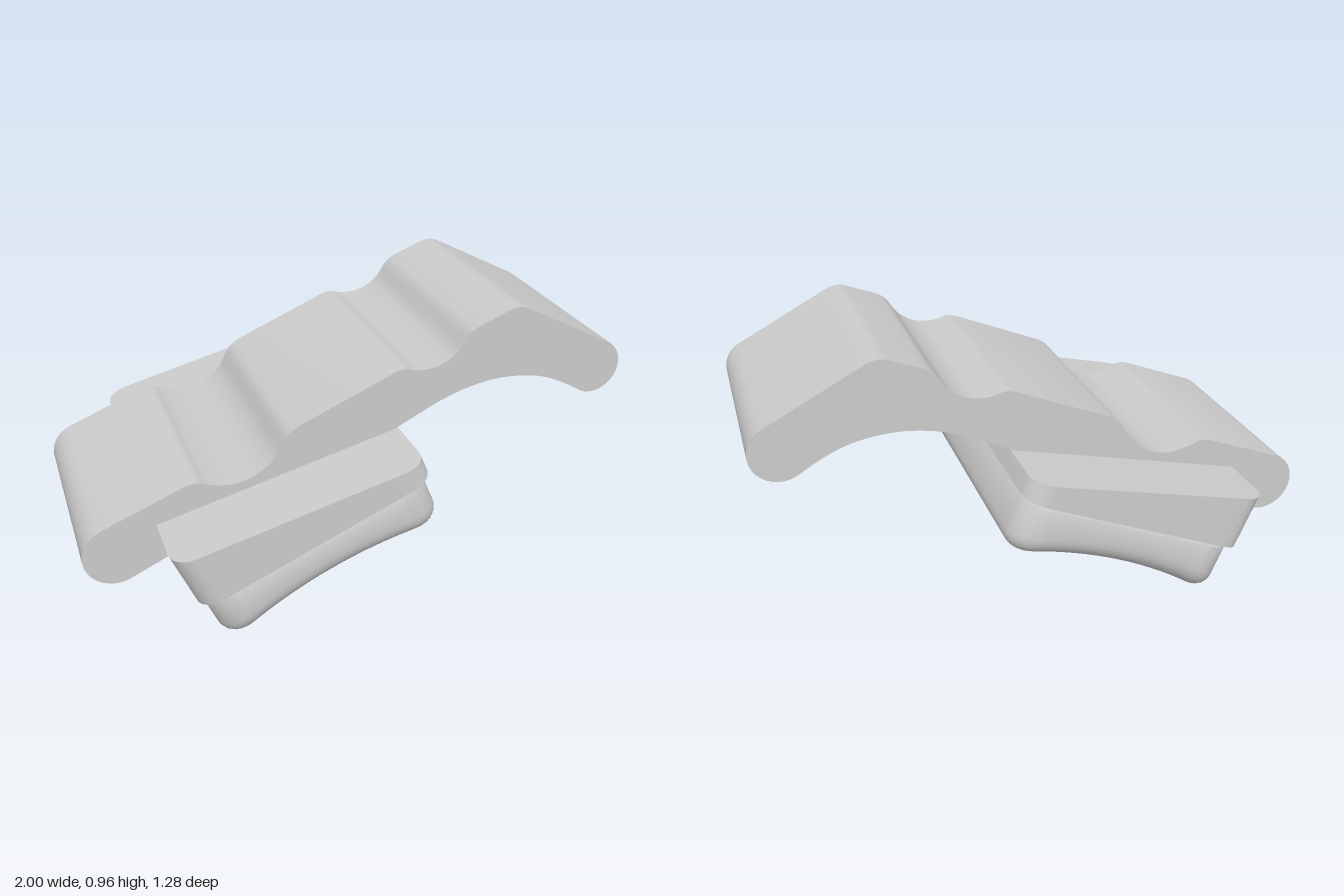
import * as THREE from 'three';
import { toCreasedNormals } from 'three/addons/utils/BufferGeometryUtils.js';

const material = new THREE.MeshStandardMaterial({ color: 0xcccccc, side: THREE.DoubleSide });
const V = (x, y) => new THREE.Vector2(x, y);
const DEG = Math.PI / 180;

function part(name, geometry, crease = 0.6) {
  const mesh = new THREE.Mesh(toCreasedNormals(geometry, crease), material);
  mesh.name = name;
  return mesh;
}

// Rounded rectangle outline from x0 to x1 and -hz to hz, with the long edges subdivided
function roundedLoop(x0, x1, hz, r, edgeSteps = 16, arcSteps = 6) {
  const points = [];
  const corners = [[x1 - r, hz - r], [x0 + r, hz - r], [x0 + r, r - hz], [x1 - r, r - hz]];
  corners.forEach(([cx, cz], k) => {
    for (let i = 0; i <= arcSteps; i++) {
      const a = (k + i / arcSteps) * Math.PI / 2;
      points.push(V(cx + r * Math.cos(a), cz + r * Math.sin(a)));
    }
    if (k % 2 === 0) { // long edges run along x
      const from = points[points.length - 1];
      const to = V(corners[k + 1][0], from.y);
      for (let i = 1; i < edgeSteps; i++) points.push(from.clone().lerp(to, i / edgeSteps));
    }
  });
  return points;
}

// Wavy arm: one side profile extruded across the width
function armGeometry() {
  const s = new THREE.Shape();
  s.absarc(-0.885, 0.255, 0.113, -60 * DEG, 113 * DEG, true);
  s.lineTo(-0.635, 0.474);
  s.splineThru([V(-0.595, 0.478), V(-0.55, 0.461), V(-0.47, 0.449), V(-0.39, 0.47),
    V(-0.325, 0.52), V(-0.28, 0.595), V(-0.24, 0.627)]);
  s.lineTo(0.11, 0.772);
  s.splineThru([V(0.145, 0.778), V(0.2, 0.765), V(0.27, 0.771), V(0.335, 0.808),
    V(0.385, 0.875), V(0.42, 0.898)]);
  s.lineTo(0.53, 0.94);
  s.quadraticCurveTo(0.565, 0.956, 0.61, 0.934);
  s.absarc(0.898, 0.668, 0.102, 62 * DEG, -118 * DEG, true);
  s.splineThru([V(0.76, 0.63), V(0.66, 0.669), V(0.53, 0.685), V(0.41, 0.673),
    V(0.3, 0.64), V(0.2, 0.595), V(0.1, 0.545)]);
  s.lineTo(-0.6, 0.26);
  s.lineTo(-0.71, 0.21);
  s.closePath();
  const g = new THREE.ExtrudeGeometry(s, { depth: 0.76, bevelEnabled: false, curveSegments: 8 });
  return g.translate(0, 0, -0.38);
}

// Backing plate: rounded slab whose top slopes into a wedge
function plateGeometry() {
  const shape = new THREE.Shape(roundedLoop(0, 0.882, 0.64, 0.08));
  const g = new THREE.ExtrudeGeometry(shape, { depth: 1, bevelEnabled: false });
  g.rotateX(-Math.PI / 2);
  const p = g.attributes.position;
  for (let i = 0; i < p.count; i++) {
    if (p.getY(i) > 0.5) p.setY(i, 0.211 - 0.142 * p.getX(i) / 0.882);
  }
  return g;
}

// Pad: stacked rounded loops with a soft lower edge and a hollowed underside
function padGeometry() {
  const R = 0.08;
  const depth = (x) => 0.165 + 0.04 * ((x - 0.44) / 0.35) ** 2;
  const rings = [];
  const addRing = (inset, height, zScale = 1) => rings.push(
    roundedLoop(0.015 + inset, 0.865 - inset, 0.628 - inset, 0.105 - inset)
      .map((q) => [q.x, height(q.x), q.y * zScale]));
  addRing(0.02, () => 0.002);
  addRing(0.02, () => -0.008);
  addRing(0.004, () => -0.01);
  addRing(0, () => -0.016);
  for (let i = 0; i <= 7; i++) {
    const a = i / 7 * Math.PI / 2;
    addRing(R * (1 - Math.cos(a)), (x) => -depth(x) + R * (1 - Math.sin(a)));
  }
  addRing(R, (x) => -depth(x), 0); // closes the underside along its centre line
  const n = rings[0].length;
  const index = [];
  for (let r = 0; r < rings.length - 1; r++) {
    for (let i = 0; i < n; i++) {
      const a = r * n + i, b = r * n + (i + 1) % n;
      index.push(a, b, a + n, b, b + n, a + n);
    }
  }
  const g = new THREE.BufferGeometry();
  g.setAttribute('position', new THREE.Float32BufferAttribute(rings.flat(2), 3));
  g.setIndex(index);
  return g;
}

export function createModel() {
  const model = new THREE.Group();
  model.name = 'padAndArm';
  model.add(part('arm', armGeometry()));

  // Plate and pad share a tilted frame along their seam
  const block = new THREE.Group();
  block.name = 'padBlock';
  block.position.set(-0.66, 0.15, 0);
  block.rotation.z = 22.8 * DEG;
  block.add(part('backingPlate', plateGeometry()), part('pad', padGeometry()));
  model.add(block);
  return model;
}
